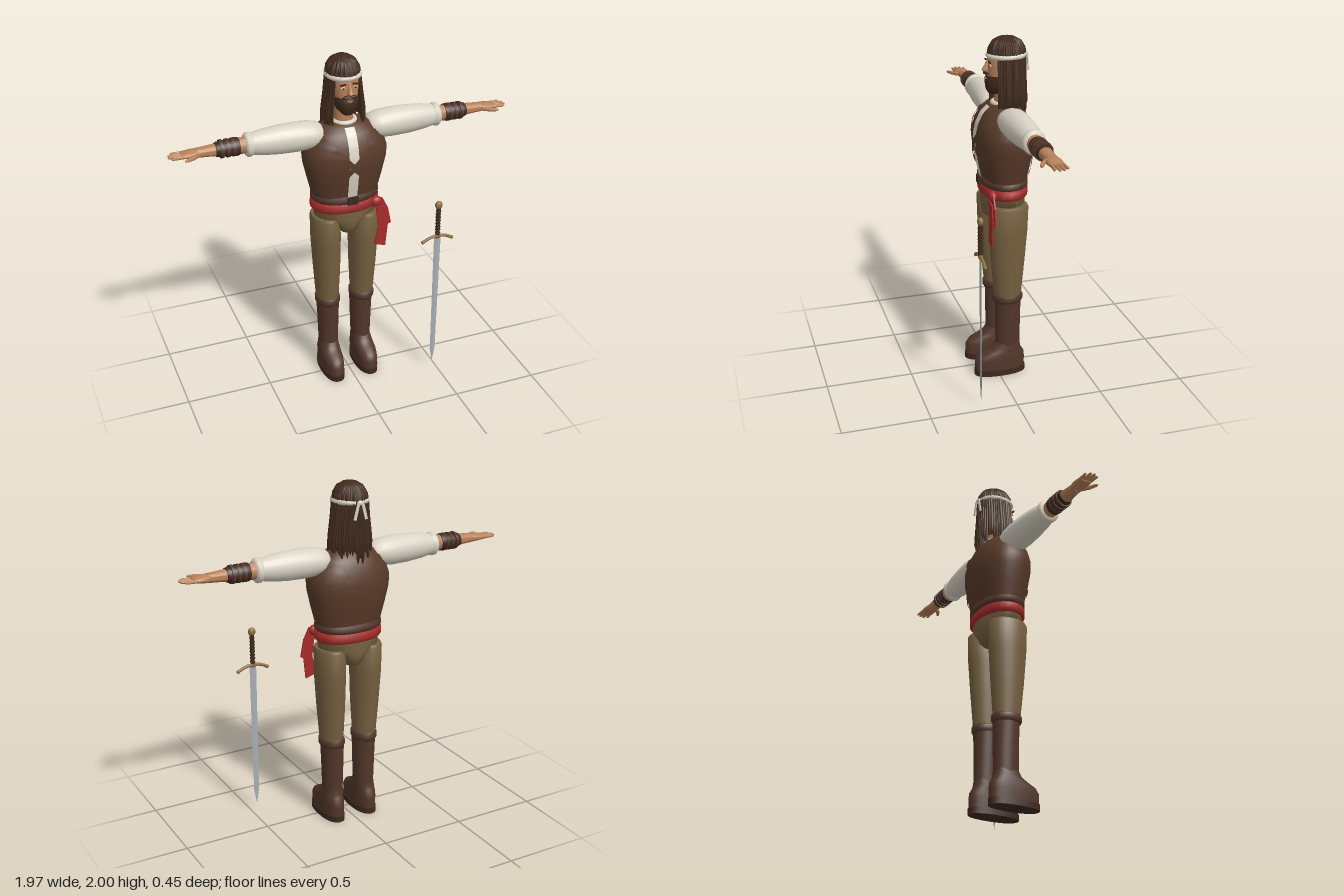
import * as THREE from 'three';
import { toCreasedNormals } from 'three/addons/utils/BufferGeometryUtils.js';

const mat = (name, color) => {
  const m = new THREE.MeshStandardMaterial({ color, side: THREE.DoubleSide });
  m.name = name;
  return m;
};

// Skin over elliptical rings [y, cx, cz, rx, rz], listed from top to bottom.
// e is the roundness of the ring (2 = ellipse, more = boxier).
function loft(rings, { segs = 28, e = 2, open = false, start = 0, length = Math.PI * 2, crease = 0.7 } = {}) {
  const n = rings.length - 1;
  const g = new THREE.CylinderGeometry(1, 1, 1, segs, n, open, start, length);
  const p = g.attributes.position;
  const bend = v => Math.sign(v) * Math.pow(Math.abs(v), 2 / e);
  for (let i = 0; i < p.count; i++) {
    const [y, cx, cz, rx, rz] = rings[Math.round((0.5 - p.getY(i)) * n)];
    p.setXYZ(i, cx + bend(p.getX(i)) * rx, y, cz + bend(p.getZ(i)) * rz);
  }
  return toCreasedNormals(g, crease);
}

const CZ = -0.058; // depth of the body axis
const TORSO = [
  [1.63, 0, -0.066, 0.09, 0.06], [1.615, 0, -0.064, 0.145, 0.085], [1.58, 0, -0.06, 0.18, 0.118],
  [1.52, 0, CZ, 0.225, 0.145], [1.46, 0, CZ, 0.243, 0.158], [1.4, 0, CZ, 0.238, 0.16],
  [1.3, 0, CZ, 0.215, 0.145], [1.19, 0, CZ, 0.188, 0.122]];
const TORSO_E = 2.3;

// Depth of the vest surface at x, y; side is +1 for front and -1 for back.
function torsoZ(x, y, side, lift) {
  let i = 0;
  while (i < TORSO.length - 2 && y < TORSO[i + 1][0]) i++;
  const a = TORSO[i], b = TORSO[i + 1];
  const t = THREE.MathUtils.clamp((a[0] - y) / (a[0] - b[0]), 0, 1);
  const [cz, rx, rz] = [2, 3, 4].map(k => a[k] + (b[k] - a[k]) * t);
  const q = Math.min(1, Math.abs(x) / rx);
  return cz + side * (rz * Math.pow(1 - Math.pow(q, TORSO_E), 1 / TORSO_E) + lift);
}

// Flat band laid over the vest from one point to another.
function drape(x0, y0, x1, y1, width, side, lift) {
  const g = new THREE.PlaneGeometry(1, width, 28, 4);
  const p = g.attributes.position;
  const len = Math.hypot(x1 - x0, y1 - y0), nx = -(y1 - y0) / len, ny = (x1 - x0) / len;
  for (let i = 0; i < p.count; i++) {
    const t = p.getX(i) + 0.5, w = p.getY(i);
    const x = x0 + (x1 - x0) * t + nx * w, y = y0 + (y1 - y0) * t + ny * w;
    p.setXYZ(i, x, y, torsoZ(x, y, side, lift));
  }
  if (side < 0) g.index.array.reverse();
  g.computeVertexNormals();
  return g;
}

export function createModel() {
  const root = new THREE.Group();
  root.name = 'swordsman';
  const vest = mat('vestLeather', 0x583a29), boot = mat('bootLeather', 0x52362a), dark = mat('darkLeather', 0x3f291e),
    hair = mat('hairBrown', 0x412a1c), linen = mat('linen', 0xd9d3c4), cloth = mat('trouserCloth', 0x75603f),
    skin = mat('skin', 0xb88159), red = mat('sashRed', 0xa52b29), brass = mat('brass', 0x8d6f3f), steel = mat('steel', 0xa9b0b6);

  const add = (name, geo, m, x = 0, y = 0, z = 0, parent = root) => {
    const mesh = new THREE.Mesh(geo, m);
    mesh.name = name;
    mesh.position.set(x, y, z);
    parent.add(mesh);
    return mesh;
  };
  const ball = (name, m, x, y, z, rx, ry, rz) =>
    add(name, new THREE.SphereGeometry(1, 16, 12).scale(rx, ry, rz), m, x, y, z);
  const box = (name, m, x, y, z, w, h, d) => add(name, new THREE.BoxGeometry(w, h, d), m, x, y, z);
  // Rounded band around the body or head
  const band = (name, m, y0, y1, cz, rx, rz) => {
    const h = y1 - y0;
    add(name, loft([[y1, 0, cz, rx * 0.94, rz * 0.94], [y1 - h * 0.2, 0, cz, rx, rz],
      [y0 + h * 0.2, 0, cz, rx, rz], [y0, 0, cz, rx * 0.94, rz * 0.94]], { e: 2.2, crease: 1.1 }), m);
  };

  // Torso, shirt front and crossed straps
  add('vest', loft(TORSO, { e: TORSO_E, segs: 40 }), vest);
  add('shirtFront', drape(0, 1.615, 0, 1.2, 0.056, 1, 0.004), linen);
  for (const side of [1, -1]) for (const s of [1, -1])
    add('chestStrap', drape(-0.165 * s, 1.575, 0.15 * s, 1.25, 0.034, side, 0.008), vest);
  add('collar', new THREE.TorusGeometry(0.062, 0.014, 8, 28).rotateX(Math.PI / 2), linen, 0, 1.628, -0.066);

  // Waist
  band('belt', boot, 1.165, 1.215, CZ, 0.197, 0.134);
  band('sash', red, 1.108, 1.168, CZ, 0.2, 0.132);
  box('buckle', dark, 0, 1.19, 0.08, 0.06, 0.045, 0.016);
  ball('sashKnot', red, 0.155, 1.14, 0.045, 0.035, 0.032, 0.025);
  const tails = [
    [[.12, 1.15], [.19, 1.16], [.225, 1.09], [.245, .99], [.21, .975], [.17, 1.09]],
    [[.145, 1.12], [.21, 1.1], [.222, 1.0], [.207, .85], [.14, .87], [.165, .98]]];
  tails.forEach((pts, i) => {
    const shape = new THREE.Shape(pts.map(p => new THREE.Vector2(...p)));
    add('sashTail', new THREE.ExtrudeGeometry(shape, { depth: 0.008, bevelEnabled: false }), red, 0, 0, 0.045 + i * 0.012);
  });

  // Hips
  add('hips', loft([[1.13, 0, CZ, .187, .12], [1.06, 0, CZ, .178, .123], [1.02, 0, CZ, .1, .123],
    [.98, 0, CZ, .07, .112], [.96, 0, CZ, .05, .09], [.95, 0, CZ, .02, .04]], { crease: 1 }), cloth);

  for (const s of [1, -1]) {
    // Leg and boot
    const L = (y, x, z, rx, rz) => [y, s * x, z, rx, rz];
    add('trouserLeg', loft([L(1.065, .116, CZ, .078, .108), L(1.05, .116, CZ, .084, .117), L(.9, .115, CZ, .084, .112),
      L(.7, .111, CZ, .077, .097), L(.5, .108, -.06, .066, .078)]), cloth);
    add('bootCuff', loft([L(.515, .107, -.06, .066, .08), L(.503, .107, -.06, .073, .088),
      L(.478, .107, -.06, .073, .088), L(.465, .107, -.06, .066, .08)], { crease: 1.2 }), boot);
    add('bootShaft', loft([L(.48, .105, -.062, .067, .076), L(.35, .104, -.062, .062, .074), L(.18, .104, -.062, .056, .072)]), boot);
    add('foot', loft([L(.2, .104, -.062, .054, .07), L(.165, .105, -.054, .058, .083), L(.145, .106, -.04, .06, .104),
      L(.12, .107, -.022, .062, .138), L(.09, .107, -.013, .063, .149), L(.035, .107, -.013, .061, .149)], { e: 2.3, crease: 1 }), boot);
    add('sole', loft([L(.036, .107, -.013, .065, .153), L(0, .107, -.013, .065, .153)], { e: 2.3 }), dark);
    box('bootSeam', dark, s * .104, .42, .012, .004, .06, .006);

    // Arm pieces: rings run along the arm [distance, height radius, depth radius, depth offset]
    const arm = (name, m, rows, opt) => {
      const rings = rows.map(([d, ry, rz, z = 0]) => [d, 0, z, ry, rz]);
      add(name, loft(rings, { segs: 24, crease: 0.9, ...opt }).rotateZ(-s * Math.PI / 2), m, 0, 1.572, CZ);
    };
    arm('sleeve', linen, [[.54, .058, .056], [.47, .072, .068], [.38, .081, .077], [.28, .083, .083],
      [.2, .077, .084], [.15, .064, .076], [.125, .04, .05]]);
    arm('sleeveCuff', linen, [[.567, .058, .055], [.557, .068, .063], [.538, .068, .063], [.526, .058, .055]]);
    arm('forearm', skin, [[.83, .026, .032], [.78, .029, .035], [.6, .045, .042], [.5, .05, .045]]);
    arm('bracer', dark, [[.73, .037, .041], [.72, .041, .044], [.615, .051, .05], [.6, .048, .047]]);
    for (const d of [.632, .665, .698])
      arm('bracerBand', boot, [[d + .008, .05, .051], [d - .008, .051, .052]]);
    // Hand
    arm('palm', skin, [[.915, .012, .035], [.895, .017, .041], [.855, .022, .042], [.82, .024, .035], [.8, .022, .028]]);
    [.965, .982, .985, .972].forEach((tip, i) => {
      const z = (i - 1.5) * .02;
      arm('finger', skin, [[tip, .003, .003, z * 1.15], [tip - .012, .008, .008, z * 1.12],
        [.93, .009, .009, z], [.885, .01, .01, z]], { segs: 10 });
    });
    arm('thumb', skin, [[.91, .004, .004, .08], [.895, .009, .01, .075], [.86, .011, .014, .058], [.825, .012, .014, .03]], { segs: 12 });
  }

  // Neck and head
  add('neck', loft([[1.74, 0, -.068, .05, .052], [1.6, 0, -.068, .054, .056]]), skin);
  add('head', loft([[1.975, 0, -.07, .045, .05], [1.92, 0, -.066, .076, .088], [1.85, 0, -.06, .077, .088], [1.79, 0, -.052, .07, .083],
    [1.73, 0, -.04, .054, .068], [1.7, 0, -.03, .035, .045]], { e: 2.2, crease: 1 }), skin);
  add('nose', loft([[1.872, 0, .022, .007, .008], [1.835, 0, .034, .011, .018], [1.818, 0, .038, .017, .024],
    [1.808, 0, .034, .012, .016]], { segs: 12, crease: 1 }), skin);
  add('beard', loft([[1.788, 0, -.052, .073, .083], [1.765, 0, -.046, .072, .086], [1.74, 0, -.04, .066, .08],
    [1.71, 0, -.028, .052, .064], [1.685, 0, -.014, .028, .036]], { crease: 1, e: 2.2 }), hair);
  box('lowerLip', skin, 0, 1.772, .039, .026, .007, .006);
  for (const s of [1, -1]) {
    ball('eye', linen, s * .034, 1.846, .022, .014, .007, .006);
    ball('iris', dark, s * .034, 1.846, .027, .006, .006, .003);
    box('brow', hair, s * .035, 1.866, .026, .034, .008, .008).rotation.z = -s * .12;
    ball('moustache', hair, s * .02, 1.796, .032, .024, .009, .014).rotation.z = -s * .3;
  }

  // Hair: cap, curtain and hanging locks
  add('hairCap', loft([[1.998, 0, -.076, .012, .014], [1.99, 0, -.076, .04, .046], [1.97, 0, -.077, .064, .074],
    [1.935, 0, -.078, .083, .093], [1.885, 0, -.078, .09, .101]], { crease: 1.2 }), hair);
  add('hairCurtain', loft([[1.9, 0, -.08, .089, .099], [1.8, 0, -.082, .098, .1], [1.7, 0, -.085, .108, .1], [1.63, 0, -.088, .108, .098]],
    { open: true, start: 0.85, length: Math.PI * 2 - 1.7, crease: 1.2 }), hair);
  let seed = 7;
  const rand = () => (seed = (seed * 16807) % 2147483647) / 2147483647;
  const LOCKS = 46;
  for (let i = 0; i < LOCKS; i++) {
    const a = (i + 0.5) / LOCKS * Math.PI * 2, front = Math.cos(a) > 0.72;
    const end = 1.64 - 0.07 * rand() * (1 - 0.3 * Math.cos(a)), k = 0.0075 + 0.003 * rand(), sway = 0.006 * (rand() - 0.5);
    const at = (y, rx, rz, r) => [y, Math.sin(a) * rx + sway * (2 - y) * 4, -.08 + Math.cos(a) * rz, r, r];
    const rings = [at(1.992, .035, .04, .004), at(1.972, .062, .072, k), at(1.935, .083, .094, k), at(1.89, .09, .101, k)];
    if (!front) rings.push(at(1.8, .1, .1, k), at(1.7, .113, .104, k), at(end + .03, .115, .107, k), at(end, .112, .107, .002));
    add('hairLock', loft(rings, { segs: 7, crease: 1.3 }), hair);
  }

  // Headband with knot and tails at the back
  band('headband', linen, 1.882, 1.908, -.078, .1, .11);
  ball('headbandKnot', linen, 0, 1.895, -.19, .018, .014, .012);
  for (const s of [1, -1])
    box('headbandTail', linen, s * .024, 1.85, -.196, .016, .09, .006).rotation.z = s * .25;

  // Standing sword
  const sword = new THREE.Group();
  sword.name = 'sword';
  sword.position.set(0.47, 0, 0.205);
  root.add(sword);
  const part = (name, geo, m, y = 0) => add(name, geo, m, 0, y, 0, sword);
  part('blade', loft([[.93, 0, 0, .021, .006], [.14, 0, 0, .016, .005], [.055, 0, 0, .001, .001]], { segs: 4, crease: 0.1 }), steel);
  const arc = new THREE.CatmullRomCurve3([[-.09, .908], [-.05, .927], [0, .935], [.05, .927], [.09, .908]]
    .map(([x, y]) => new THREE.Vector3(x, y, 0)));
  part('guard', new THREE.TubeGeometry(arc, 24, .009, 10), brass);
  for (const s of [1, -1])
    add('guardTip', new THREE.SphereGeometry(.011, 12, 8), brass, s * .09, .908, 0, sword);
  part('guardBlock', new THREE.SphereGeometry(1, 14, 10).scale(.02, .016, .014), brass, .933);
  part('grip', new THREE.CylinderGeometry(.013, .012, .18, 14), dark, 1.025);
  for (let i = 0; i < 8; i++)
    part('gripWrap', new THREE.TorusGeometry(.012, .004, 6, 16).rotateX(Math.PI / 2), dark, .955 + i * .02);
  part('pommel', new THREE.SphereGeometry(1, 16, 12).scale(.022, .025, .017), brass, 1.134);

  return root;
}
